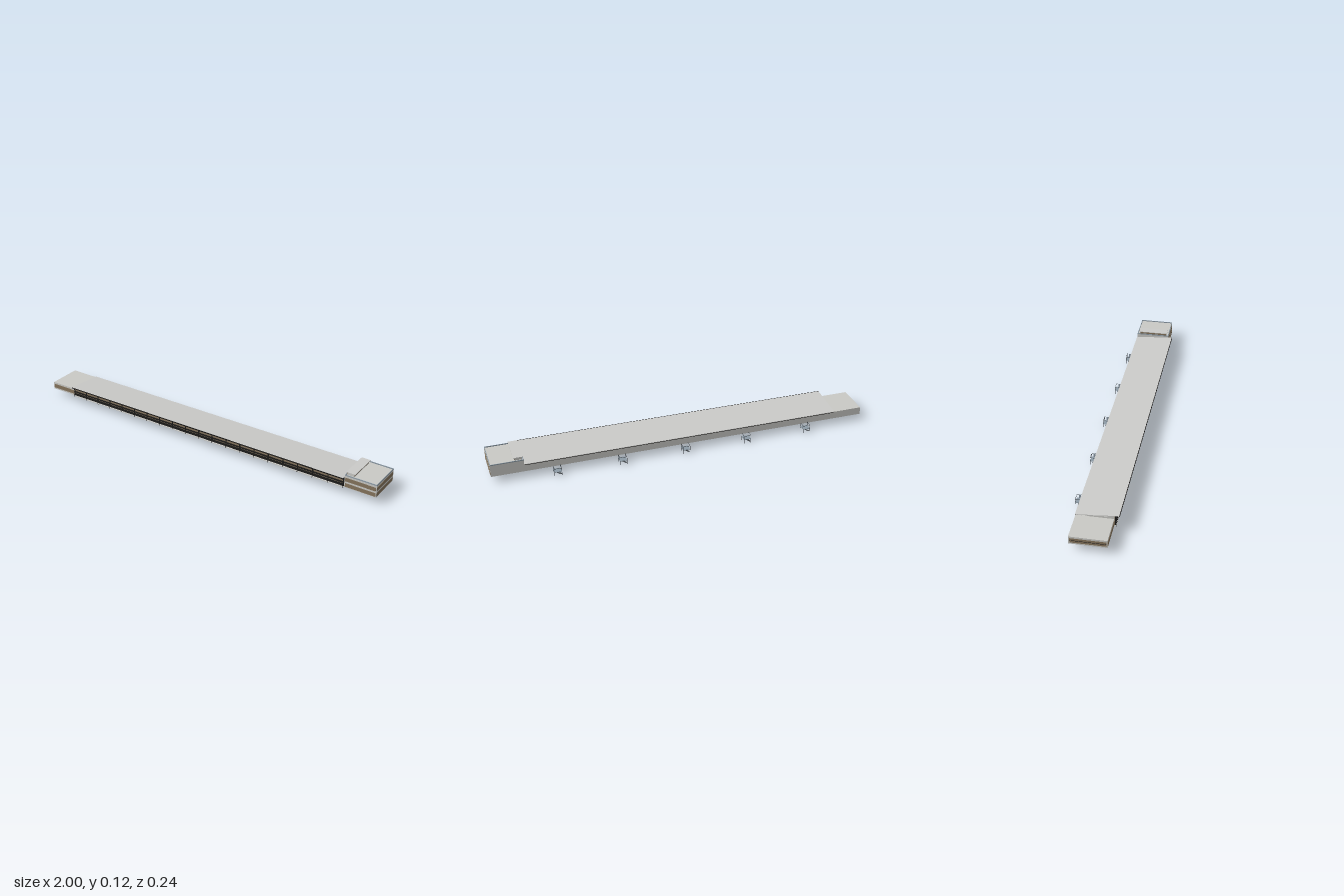
import * as THREE from 'three';

const mat = (name, color, side = THREE.FrontSide) => {
  const m = new THREE.MeshStandardMaterial({ color, side });
  m.name = name;
  return m;
};

export function createModel() {
  const M = {
    wall: mat('pale grey wall', 0xc9c9c5),
    roof: mat('roof grey', 0xcacac8),
    glass: mat('bronze glazing', 0x85745c),
    black: mat('black cladding', 0x1c1b1a),
    trim: mat('blue grey trim', 0x8c9aa5),
    steel: mat('dark steel', 0x454b50),
  };
  const root = new THREE.Group();
  root.name = 'longBuilding';

  // Box given by its limits on each axis
  function box(name, m, x0, x1, y0, y1, z0, z1, parent = root) {
    const mesh = new THREE.Mesh(new THREE.BoxGeometry(x1 - x0, y1 - y0, z1 - z0), m);
    mesh.position.set((x0 + x1) / 2, (y0 + y1) / 2, (z0 + z1) / 2);
    mesh.name = name;
    parent.add(mesh);
    return mesh;
  }
  // Cross-section of [z, y] points extruded from x0 to x1
  function prism(name, m, pts, x0, x1) {
    const shape = new THREE.Shape(pts.map(([z, y]) => new THREE.Vector2(z, y)));
    const geo = new THREE.ExtrudeGeometry(shape, { depth: x1 - x0, bevelEnabled: false });
    geo.rotateY(-Math.PI / 2).translate(x1, 0, 0);
    const mesh = new THREE.Mesh(geo, m);
    mesh.name = name;
    root.add(mesh);
  }

  const L = -0.845, R = 0.832, back = -0.083, front = 0.098, base = 0.037;

  // Long hall with a single-pitch roof rising to the front
  prism('hall', M.wall, [[back, base], [front, base], [front, 0.091], [back, 0.075]], L, R);
  prism('hallRoof', M.roof, [[-0.086, 0.0765], [0.12, 0.0935], [0.12, 0.0965], [-0.086, 0.0795]], L, R);
  box('roofFascia', M.black, L, R, 0.0925, 0.097, 0.1195, 0.122);
  box('backGutter', M.black, L, R, 0.073, 0.0765, -0.085, back);

  // Hall front: glazing, black bands, mullions and ledges
  box('hallGlazing', M.glass, L, R, 0.043, 0.09, front, 0.1);
  box('upperBand', M.black, L, R, 0.079, 0.087, 0.1, 0.103);
  box('middleBand', M.black, L, R, 0.061, 0.066, 0.1, 0.104);
  box('lowerBand', M.black, L, R, 0.043, 0.056, 0.1, 0.103);
  box('middleLedge', M.black, L, R, 0.066, 0.068, 0.1, 0.105);
  box('footLedge', M.wall, L, R, base, 0.04, front, 0.106);
  box('footRail', M.black, L, R, 0.047, 0.049, 0.105, 0.1065);
  const bays = 20;
  for (let i = 0; i <= bays; i++) {
    const x = L + 0.002 + (R - L - 0.004) * i / bays;
    box('mullion', M.black, x - 0.002, x + 0.002, 0.043, 0.09, 0.1, 0.104);
    box('railPost', M.black, x - 0.001, x + 0.001, 0.035, 0.049, 0.105, 0.1065);
    // Struts carrying the eaves
    const strut = box('eaveStrut', M.black, x - 0.001, x + 0.001, 0.0895, 0.0915, 0.1, 0.12);
    strut.rotation.x = -0.08;
  }

  // Low end block with one band of windows
  box('lowBlock', M.wall, -1, L, base, 0.077, back, front - 0.002);
  box('lowBlockFrontWindows', M.glass, -0.997, L, 0.046, 0.067, 0.096, 0.0975);
  box('lowBlockEndWindows', M.glass, -1.0005, -0.9995, 0.044, 0.068, -0.077, 0.092);
  box('lowBlockEndBar', M.black, -1.001, -1, 0.055, 0.057, -0.077, 0.092);

  // Tall end block with two bands of windows
  box('tallBlock', M.wall, R, 1, base, 0.1, back, front);
  for (const [y0, y1] of [[0.04, 0.06], [0.07, 0.09]]) {
    box('tallBlockEndWindows', M.glass, 0.9995, 1.0005, y0, y1, -0.076, 0.094);
    box('tallBlockFrontWindows', M.glass, R + 0.004, 0.996, y0, y1, front - 0.0005, front + 0.001);
  }

  // Parapet around the tall block
  box('frontParapet', M.trim, R, 1, 0.1, 0.105, front - 0.003, front);
  box('backParapet', M.trim, R, 1, 0.1, 0.105, back, back + 0.003);
  box('endParapet', M.trim, 0.997, 1, 0.1, 0.105, back + 0.003, front - 0.003);
  box('innerParapet', M.trim, R, R + 0.003, 0.1, 0.105, back + 0.003, front - 0.003);

  // Rooftop lantern
  box('lantern', M.wall, 0.838, 0.876, 0.1, 0.114, -0.069, 0.085);
  for (const x of [0.8375, 0.8765])
    box('lanternWindows', M.glass, x - 0.0005, x + 0.0005, 0.104, 0.114, -0.068, 0.084);
  box('lanternRoof', M.roof, 0.834, 0.882, 0.114, 0.117, -0.073, 0.089);

  // Railed escape stairs along the back
  for (let i = -2; i <= 2; i++) {
    const stair = new THREE.Group();
    stair.name = 'escapeStair';
    stair.position.x = i * 0.336;
    root.add(stair);
    box('landing', M.trim, -0.019, 0.019, 0.021, 0.0235, -0.12, back, stair);
    for (const x of [-0.0185, 0.0185]) {
      for (const z of [-0.1195, -0.0845])
        box('post', M.steel, x - 0.0007, x + 0.0007, 0, 0.043, z - 0.0007, z + 0.0007, stair);
      box('sideRail', M.steel, x - 0.0007, x + 0.0007, 0.0415, 0.043, -0.12, back, stair);
    }
    box('outerRail', M.steel, -0.019, 0.019, 0.0415, 0.043, -0.12, -0.1185, stair);
    box('gate', M.trim, 0.0165, 0.018, 0.0235, 0.043, -0.109, -0.1, stair);
    // Flight of steps below the landing
    for (let s = 0; s < 6; s++) {
      const x = -0.016 + s * 0.0055, y = 0.0025 + s * 0.0035;
      box('step', M.steel, x - 0.003, x + 0.003, y - 0.0025, y + 0.0005, -0.109, -0.1, stair);
    }
  }
  return root;
}
